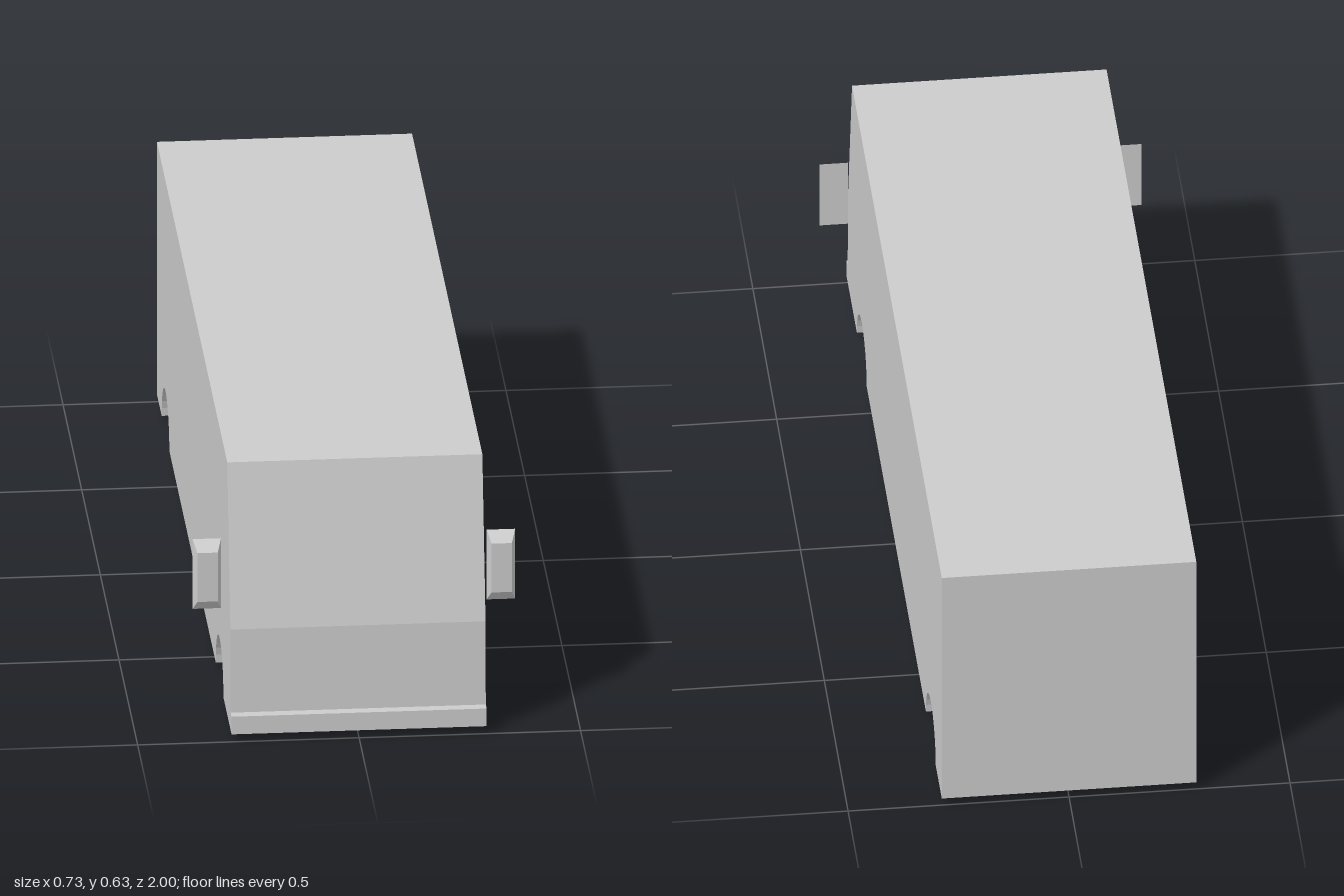
import * as THREE from 'three';

const WIDTH = 0.576, FLOOR = 0.019, ARCH_R = 0.103, WELL_DEPTH = 0.05;
const AXLES_Z = [-0.77, 0.68];

export function createModel() {
  const bus = new THREE.Group();
  bus.name = 'bus';
  const material = new THREE.MeshStandardMaterial({ color: 0xcccccc, flatShading: true });

  const add = (name, geometry) => {
    const mesh = new THREE.Mesh(geometry, material);
    mesh.name = name;
    bus.add(mesh);
    return mesh;
  };

  // Extrudes a side profile drawn in (z, y) across the width, centred on x = 0
  const acrossWidth = (shape, width) => new THREE.ExtrudeGeometry(shape, {
    depth: width, bevelEnabled: false, curveSegments: 8,
  }).translate(0, 0, -width / 2).rotateY(-Math.PI / 2);

  // Body shell: side profile with bumper, sloped windscreen and wheel arches
  const profile = new THREE.Shape();
  profile.moveTo(-1, FLOOR);
  for (const z of AXLES_Z) {
    profile.lineTo(z - ARCH_R, FLOOR);
    profile.absarc(z, FLOOR, ARCH_R, Math.PI, 0, true);
  }
  for (const [z, y] of [[1, FLOOR], [1, 0.062], [0.976, 0.062], [0.97, 0.262],
    [0.885, 0.634], [-1, 0.634]]) profile.lineTo(z, y);
  profile.closePath();
  add('body', acrossWidth(profile, WIDTH));

  for (const z of AXLES_Z) {
    const end = z > 0 ? 'front' : 'rear';

    // Floor between the two wheel wells; its ends are the wells' inner walls
    const arch = new THREE.Shape();
    arch.moveTo(z - ARCH_R, FLOOR);
    arch.absarc(z, FLOOR, ARCH_R, Math.PI, 0, true);
    arch.closePath();
    add(end + 'WheelWellWalls', acrossWidth(arch, WIDTH - 2 * WELL_DEPTH));

    // Axle
    add(end + 'Axle', new THREE.CylinderGeometry(0.016, 0.016, 0.54, 10).rotateZ(Math.PI / 2))
      .position.set(0, 0.016, z);
  }

  // Wing mirrors: boxes whose front face is tapered
  for (const side of [-1, 1]) {
    const geometry = new THREE.BoxGeometry(0.064, 0.17, 0.022);
    const p = geometry.attributes.position;
    for (let i = 0; i < p.count; i++) {
      if (p.getZ(i) > 0) p.setXY(i, p.getX(i) * 0.72, p.getY(i) * 0.7);
    }
    geometry.computeVertexNormals();
    add(side > 0 ? 'leftMirror' : 'rightMirror', geometry)
      .position.set(side * 0.332, 0.354, 0.87);
  }

  return bus;
}
